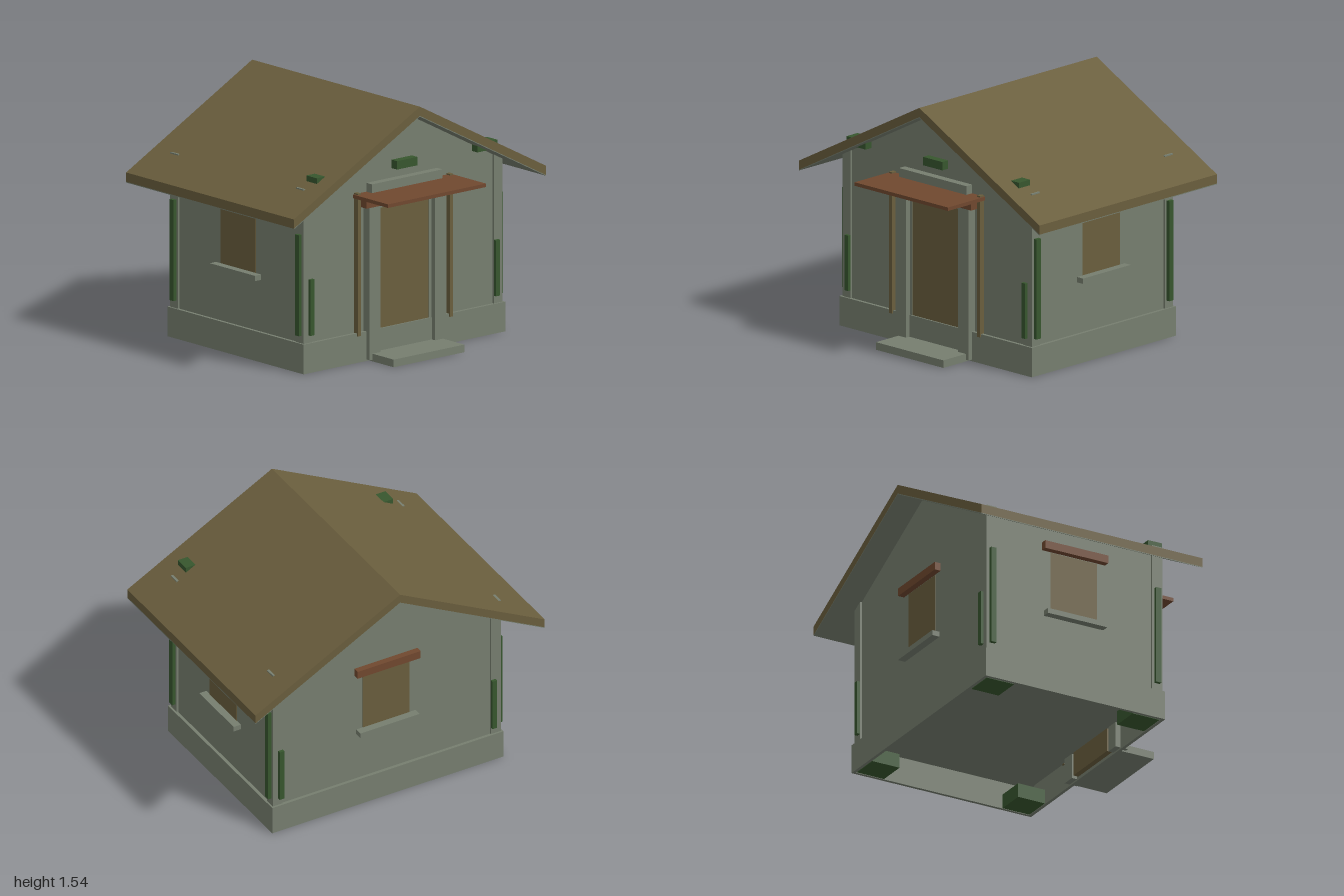
import * as THREE from 'three';

const material = (name, color) => {
  const m = new THREE.MeshStandardMaterial({ color });
  m.name = name;
  return m;
};

export function createModel() {
  const house = new THREE.Group();
  house.name = 'house';
  const stone = material('grey stone', 0x767e6f);
  const wood = material('brown wood', 0x6a5e3d);
  const rust = material('rust red', 0x70482f);
  const leaf = material('leaf green', 0x37562e);

  const midZ = -0.075;      // centre of the walls in depth
  const pitch = 0.53;       // roof drop per unit of width

  function add(name, geometry, mat, parent = house) {
    const mesh = new THREE.Mesh(geometry, mat);
    mesh.name = name;
    parent.add(mesh);
    return mesh;
  }

  // Box given by its lower and upper limits on each axis
  function box(name, mat, x0, x1, y0, y1, z0, z1, parent) {
    const mesh = add(name, new THREE.BoxGeometry(x1 - x0, y1 - y0, z1 - z0), mat, parent);
    mesh.position.set((x0 + x1) / 2, (y0 + y1) / 2, (z0 + z1) / 2);
    return mesh;
  }

  // Outline in x and y pushed along z from z0 to z1
  function prism(name, mat, points, z0, z1) {
    const shape = new THREE.Shape(points.map(([x, y]) => new THREE.Vector2(x, y)));
    const geometry = new THREE.ExtrudeGeometry(shape, { depth: z1 - z0, bevelEnabled: false });
    geometry.translate(0, 0, z0);
    return add(name, geometry, mat);
  }

  // Hollow plinth, open underneath
  for (const s of [-1, 1]) {
    const side = box('plinthSide', stone, 0.78, 0.8, 0, 0.183, -0.695, 0.545);
    side.position.x *= s;
    const end = box('plinthEnd', stone, -0.78, 0.78, 0, 0.183, 0.6, 0.62);
    end.position.z = midZ + s * 0.61;
  }

  // Walls with gables
  const eave = 1.485 - 0.775 * pitch;
  prism('walls', stone, [[-0.775, 0.17], [0.775, 0.17], [0.775, eave], [0, 1.485], [-0.775, eave]], -0.67, 0.52);

  // Roof slab with a stone-coloured soffit
  const band = (low, high) => [
    [-1, low - pitch], [0, low], [1, low - pitch],
    [1, high - pitch], [0, high], [-1, high - pitch],
  ];
  prism('roof', wood, band(1.488, 1.545), -0.84, 0.685);
  prism('soffit', stone, band(1.483, 1.488), -0.84, 0.685);

  // Corner posts, climbing vines and shrubs, mirrored to all four corners
  for (const sx of [-1, 1]) {
    for (const sz of [-1, 1]) {
      const place = (name, mat, x0, x1, y0, y1, z0, z1) => {
        const part = box(name, mat, x0, x1, y0, y1, z0, z1);
        part.position.x *= sx;
        part.position.z = midZ + sz * part.position.z;
      };
      place('cornerPost', stone, 0.72, 0.788, 0.17, 1.135, 0.537, 0.607);
      place('shortVine', leaf, 0.72, 0.752, 0.23, 0.575, 0.6, 0.627);
      place('tallVine', leaf, 0.78, 0.81, 0.23, 0.853, 0.552, 0.588);
      place('cornerFooting', leaf, 0.59, 0.775, 0, 0.09, 0.41, 0.595);
    }
  }

  // Moss blocks along the front gable
  for (const x of [-0.637, 0, 0.637]) {
    box('mossBlock', leaf, x - 0.08, x + 0.08, 1.148, 1.2, 0.475, 0.57);
  }

  // Windows on both sides and the back, built facing +z
  function makeWindow(distance) {
    const group = new THREE.Group();
    group.name = 'window';
    box('windowPane', wood, -0.16, 0.16, 0.535, 0.925, distance - 0.005, distance + 0.004, group);
    box('windowSill', stone, -0.205, 0.205, 0.5, 0.533, distance - 0.01, distance + 0.05, group);
    box('windowLintel', rust, -0.218, 0.218, 0.93, 0.98, distance - 0.01, distance + 0.04, group);
    group.position.z = midZ;
    house.add(group);
    return group;
  }
  makeWindow(0.775).rotation.y = Math.PI / 2;
  makeWindow(0.775).rotation.y = -Math.PI / 2;
  makeWindow(0.595).rotation.y = Math.PI;

  // Doorway
  box('door', wood, -0.2, 0.2, 0.02, 0.935, 0.49, 0.535);
  for (const s of [-1, 1]) {
    const jamb = box('doorJamb', stone, 0.217, 0.303, 0.01, 0.95, 0.49, 0.575);
    jamb.position.x *= s;
    const lining = box('doorLining', stone, 0.2, 0.22, 0.18, 0.935, 0.5, 0.54);
    lining.position.x *= s;
    const post = box('canopyPost', wood, 0.354, 0.378, 0.165, 1.045, 0.515, 0.555);
    post.position.x *= s;
  }
  box('doorHead', stone, -0.28, 0.28, 0.935, 1.09, 0.5, 0.57);
  box('doorstep', stone, -0.28, 0.28, 0, 0.047, 0.54, 0.768);

  // Canopy over the door
  box('canopyBeam', rust, -0.33, 0.33, 0.95, 1.014, 0.515, 0.58);
  box('canopy', rust, -0.388, 0.388, 1.014, 1.036, 0.515, 0.84);

  return house;
}
